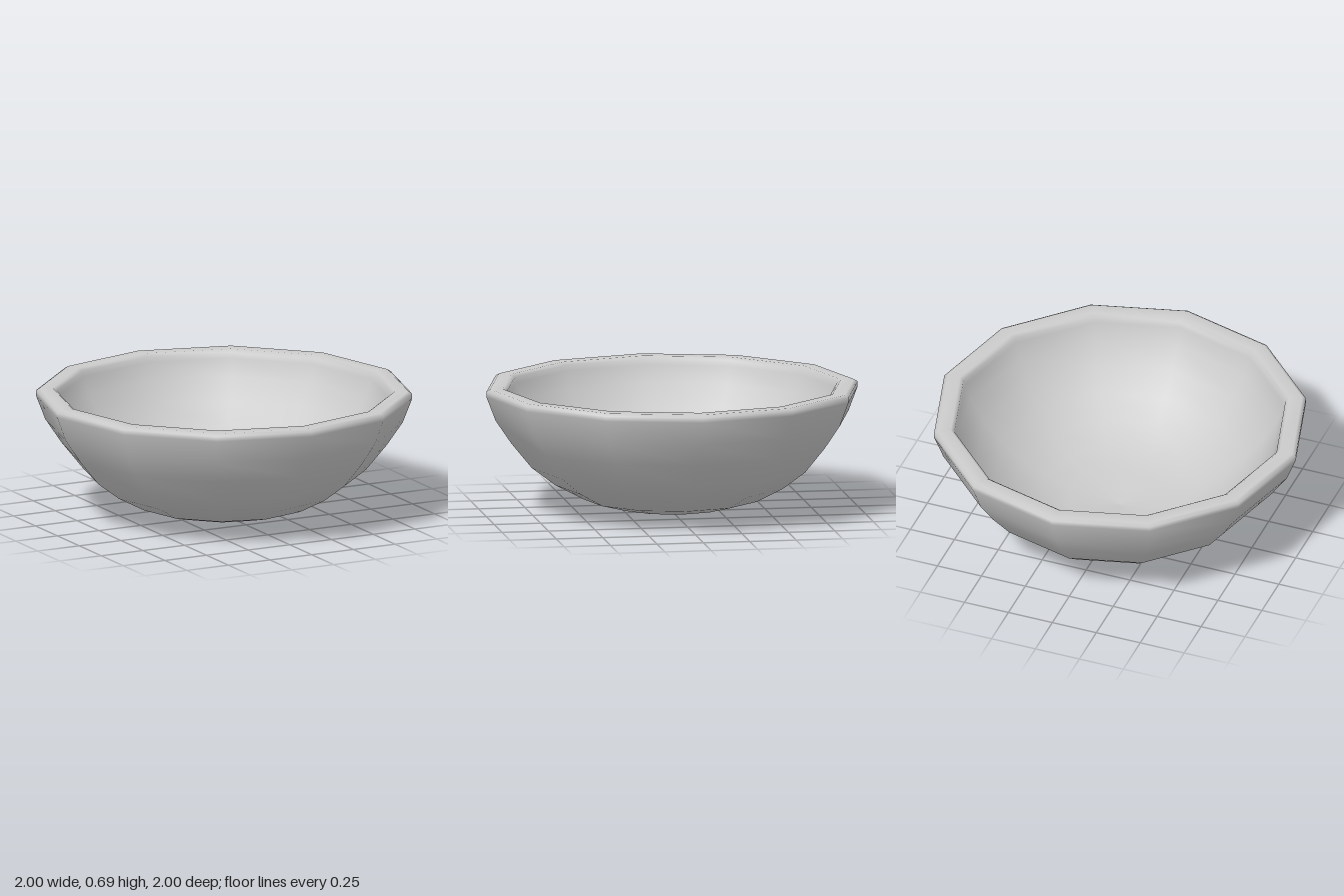
import * as THREE from 'three';

export function createModel() {
  const group = new THREE.Group();
  group.name = 'bowl';

  // Outer wall from the base up, over the rounded rim, then down the inside
  const outer = [[0, 0], [0.31, 0.035], [0.48, 0.08], [0.63, 0.16], [0.755, 0.255],
    [0.865, 0.39], [0.95, 0.515], [1, 0.645]];
  const rim = [[1, 0.672], [0.98, 0.685], [0.91, 0.685], [0.89, 0.67]];
  const inner = [[0.885, 0.64], [0.85, 0.55], [0.775, 0.43], [0.675, 0.32],
    [0.56, 0.23], [0.43, 0.16], [0.28, 0.115], [0, 0.085]];
  const profile = [...outer, ...rim, ...inner].map(([x, y]) => new THREE.Vector2(x, y));

  // Twelve-sided shell with smooth normals
  const shell = new THREE.Mesh(
    new THREE.LatheGeometry(profile, 12),
    new THREE.MeshStandardMaterial({ color: 0xcccccc })
  );
  shell.name = 'bowlShell';
  group.add(shell);
  return group;
}
